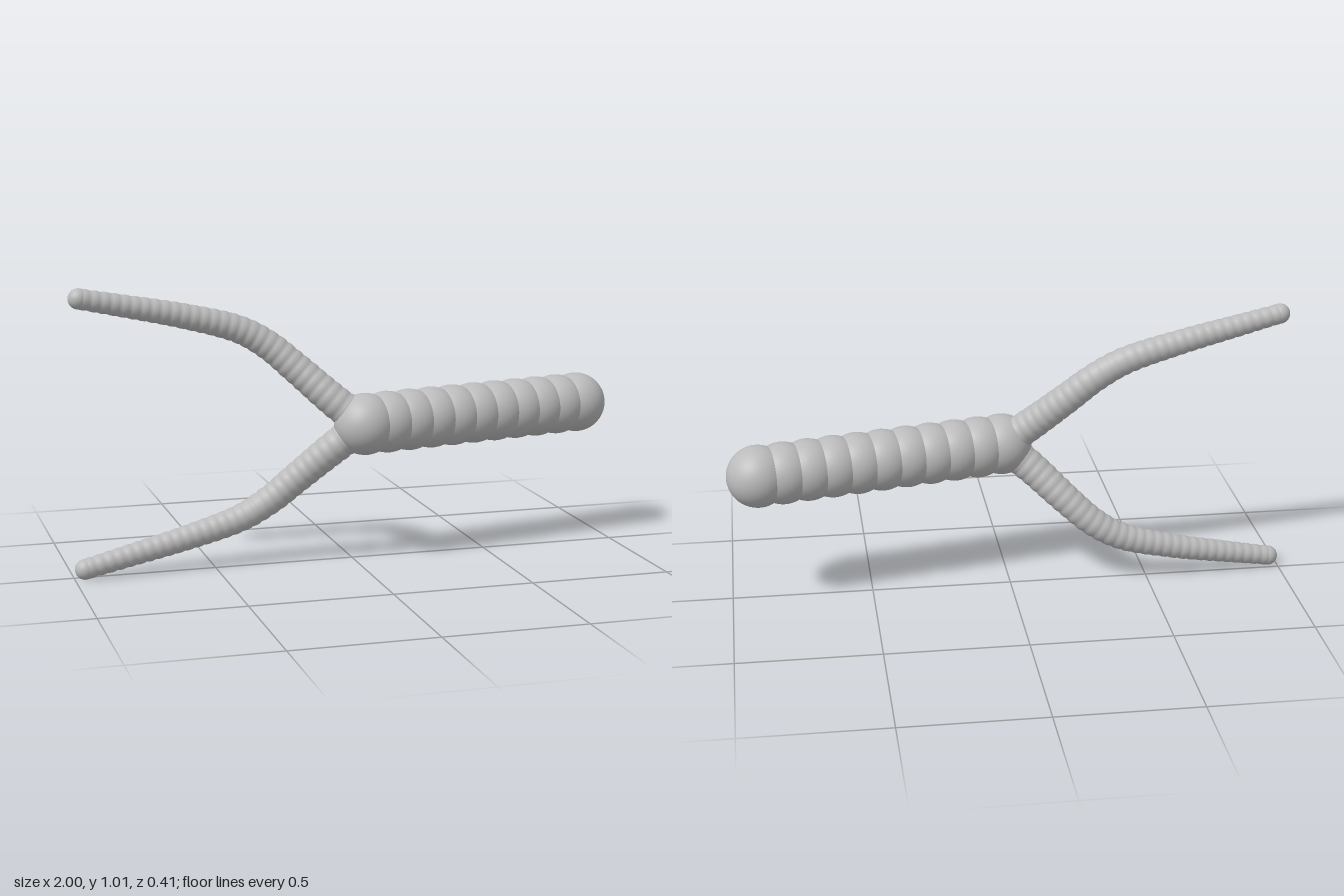
import * as THREE from 'three';
import { mergeVertices } from 'three/addons/utils/BufferGeometryUtils.js';

const MID_Y = 0.505;
const V = (x, y, z) => new THREE.Vector3(x, y, z);

// Tube whose radius tapers along its path, with fine overlapping-bead ripples
function taperedTube(curve, r0, r1, beads) {
  const steps = beads * 5, sides = 24;
  const geo = new THREE.TubeGeometry(curve, steps, 1, sides);
  const pos = geo.attributes.position, p = V(0, 0, 0);
  for (let i = 0; i <= steps; i++) {
    const u = i / steps;
    const centre = curve.getPointAt(u);
    const f = ((i % 5) / 5 - 0.5) * 2;
    const r = r0 + (r1 - r0) * u - 0.003 * f * f;
    for (let j = 0; j <= sides; j++) {
      const k = i * (sides + 1) + j;
      p.fromBufferAttribute(pos, k).sub(centre).multiplyScalar(r).add(centre);
      pos.setXYZ(k, p.x, p.y, p.z);
    }
  }
  geo.deleteAttribute('uv');
  geo.deleteAttribute('normal');
  const merged = mergeVertices(geo, 1e-5);
  merged.computeVertexNormals();
  return merged;
}

export function createModel() {
  const model = new THREE.Group();
  const grey = new THREE.MeshStandardMaterial({ color: 0xbbbbbb });
  grey.name = 'light grey';

  // Ribbed handle: a row of sphere zones meeting at creases
  const handle = new THREE.Group();
  handle.name = 'handle';
  const start = V(0.02, MID_Y, 0.095), end = V(0.891, MID_Y, -0.093);
  const count = 11, radius = 0.109;
  const spacing = start.distanceTo(end) / (count - 1);
  const crease = Math.acos(spacing / 2 / radius);
  for (let i = 0; i < count; i++) {
    const from = i === count - 1 ? 0 : crease;
    const to = i === 0 ? Math.PI : Math.PI - crease;
    const rib = new THREE.Mesh(
      new THREE.SphereGeometry(radius, 40, 20, 0, Math.PI * 2, from, to - from), grey);
    rib.name = 'handleRib';
    rib.position.y = i * spacing;
    handle.add(rib);
  }
  handle.position.copy(start);
  handle.quaternion.setFromUnitVectors(V(0, 1, 0), end.clone().sub(start).normalize());
  model.add(handle);

  // Two curved prongs, mirrored above and below the handle axis
  for (const side of [1, -1]) {
    const path = [
      [0.02, 0.0, 0.095], [-0.08, 0.08, 0.065], [-0.2, 0.19, 0.015],
      [-0.3, 0.277, -0.013], [-0.4, 0.335, -0.021], [-0.6, 0.392, -0.011],
      [-0.8, 0.435, 0.008], [-0.964, 0.469, 0.026],
    ].map(([x, y, z]) => V(x, MID_Y + side * y, z));
    const prong = new THREE.Group();
    prong.name = side > 0 ? 'upperProng' : 'lowerProng';
    const shaft = new THREE.Mesh(
      taperedTube(new THREE.CatmullRomCurve3(path), 0.062, 0.036, 32), grey);
    shaft.name = 'prongShaft';
    const tip = new THREE.Mesh(new THREE.SphereGeometry(0.036, 24, 16), grey);
    tip.name = 'prongTip';
    tip.position.copy(path[path.length - 1]);
    prong.add(shaft, tip);
    model.add(prong);
  }
  return model;
}
